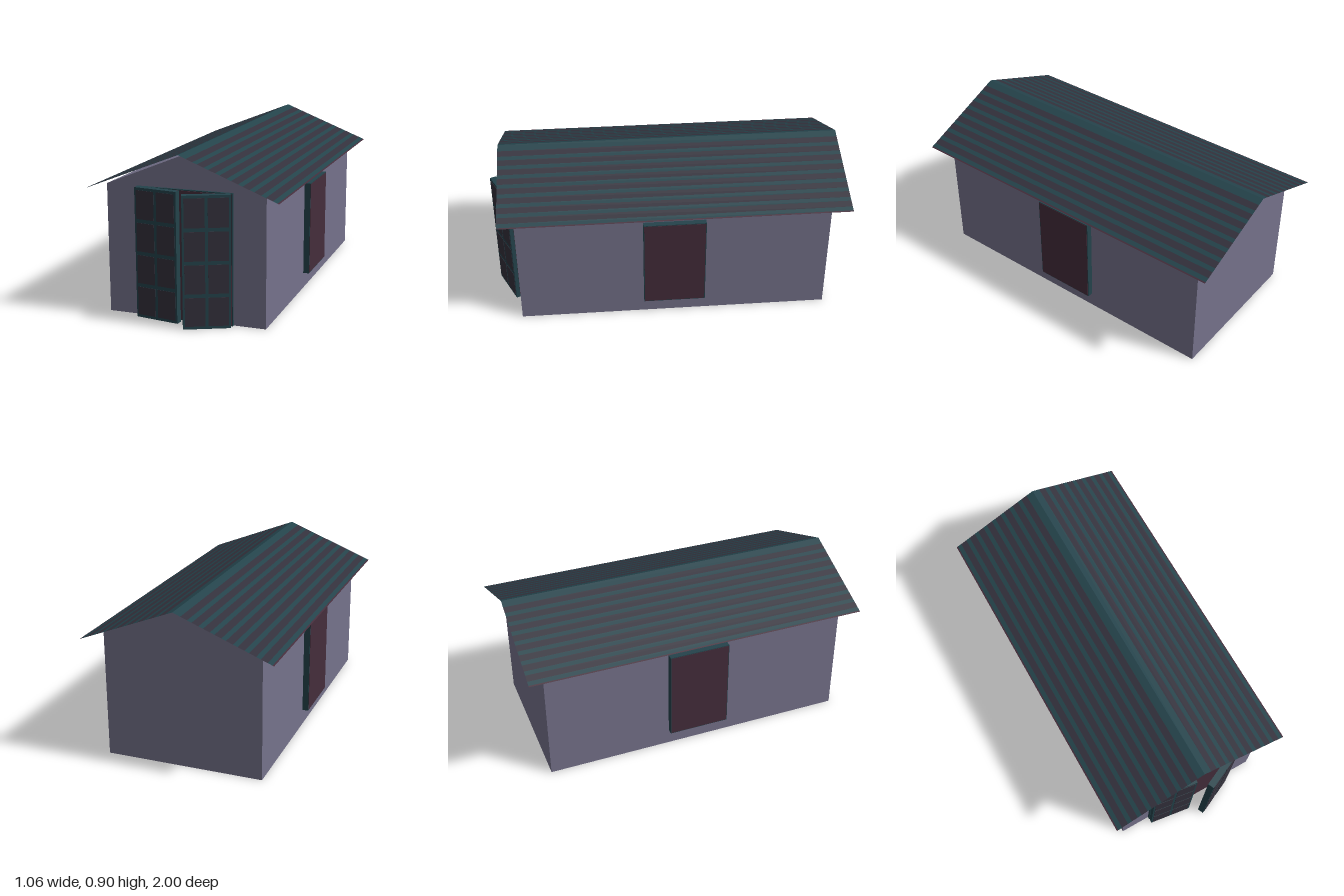
import * as THREE from 'three';
import { mergeGeometries } from 'three/addons/utils/BufferGeometryUtils.js';

function makeMaterial(name, color) {
  const m = new THREE.MeshStandardMaterial({ color, side: THREE.DoubleSide });
  m.name = name;
  return m;
}

export function createModel() {
  const wallMat = makeMaterial('wall lilac grey', 0x75728b);
  const teal = makeMaterial('dark teal', 0x24434b);
  const slate = makeMaterial('dark slate', 0x33313c);
  const maroon = makeMaterial('dark maroon', 0x442d3b);

  const model = new THREE.Group();
  model.name = 'shed';

  function add(parent, name, geometry, material, x = 0, y = 0, z = 0) {
    const mesh = new THREE.Mesh(geometry, material);
    mesh.name = name;
    mesh.position.set(x, y, z);
    parent.add(mesh);
    return mesh;
  }

  // Walls: thin shell, open at the bottom
  const halfW = 0.44, eaveY = 0.705, peakY = 0.885, frontZ = 0.855, backZ = -0.905;
  const gable = new THREE.Shape([
    new THREE.Vector2(-halfW, 0), new THREE.Vector2(halfW, 0),
    new THREE.Vector2(halfW, eaveY), new THREE.Vector2(0, peakY),
    new THREE.Vector2(-halfW, eaveY),
  ]);
  add(model, 'frontWall', new THREE.ShapeGeometry(gable), wallMat, 0, 0, frontZ);
  add(model, 'backWall', new THREE.ShapeGeometry(gable), wallMat, 0, 0, backZ).rotation.y = Math.PI;
  for (const s of [1, -1]) {
    const wall = add(model, s > 0 ? 'leftWall' : 'rightWall',
      new THREE.PlaneGeometry(frontZ - backZ, eaveY), wallMat,
      s * halfW, eaveY / 2, (frontZ + backZ) / 2);
    wall.rotation.y = s * Math.PI / 2;
  }

  // Roof: two thin slopes made of stripes running along the ridge
  const ridgeY = 0.897, slope = 0.21 / 0.53, roofHalf = 0.53;
  const roofLen = 1.94, roofZ = -0.03;
  const strips = new Map([[teal, []], [slate, []], [maroon, []]]);
  function roofStrip(material, x0, x1) {
    for (const s of [1, -1]) {
      const g = new THREE.PlaneGeometry((x1 - x0) * Math.hypot(1, slope), roofLen);
      g.rotateX(-Math.PI / 2);
      g.rotateZ(-s * Math.atan(slope));
      const xm = (x0 + x1) / 2;
      g.translate(s * xm, ridgeY - slope * xm, roofZ);
      strips.get(material).push(g);
    }
  }
  roofStrip(teal, 0, 0.042);
  const period = 0.06;
  for (let i = 0; i < 8; i++) {
    const x = 0.042 + i * period;
    roofStrip(slate, x, x + 0.036);
    roofStrip(teal, x + 0.036, x + period);
  }
  roofStrip(maroon, 0.522, roofHalf);
  const roof = new THREE.Group();
  roof.name = 'roof';
  model.add(roof);
  const stripNames = { 'dark teal': 'roofRidges', 'dark slate': 'roofGrooves', 'dark maroon': 'roofEaves' };
  for (const [material, list] of strips) add(roof, stripNames[material.name], mergeGeometries(list), material);

  // Doorway plate behind the doors
  const doorH = 0.705;
  add(model, 'doorFrame', new THREE.BoxGeometry(0.53, doorH, 0.015), teal, 0, doorH / 2, 0.8625);
  add(model, 'doorwayPanel', new THREE.BoxGeometry(0.52, doorH - 0.01, 0.004), maroon, 0, doorH / 2, 0.872);

  // Doors: a slab between two points of its outer face, with 2 x 4 panels
  const thick = 0.036;
  function addDoor(name, x0, z0, x1, z1) {
    const door = new THREE.Group();
    door.name = name;
    door.position.set((x0 + x1) / 2, 0, (z0 + z1) / 2);
    door.rotation.y = Math.atan2(z0 - z1, x1 - x0);
    model.add(door);
    const width = Math.hypot(x1 - x0, z1 - z0);
    add(door, 'doorSlab', new THREE.BoxGeometry(width, doorH, thick), teal, 0, doorH / 2, -thick / 2);
    for (let row = 0; row < 4; row++) {
      for (const s of [-1, 1]) {
        add(door, 'doorPanel', new THREE.BoxGeometry(width / 2 - 0.018, 0.154, 0.003), slate,
          s * width * 0.245, 0.092 + row * 0.174, 0.0005);
      }
    }
  }
  addDoor('rightDoor', -0.265, 0.895, -0.02, 0.93);
  addDoor('leftDoor', 0.04, 0.998, 0.265, 0.895);

  // Side windows: teal box with a maroon outer face
  for (const s of [1, -1]) {
    const win = new THREE.Group();
    win.name = s > 0 ? 'leftWindow' : 'rightWindow';
    win.position.set(s * halfW, 0.355, -0.025);
    model.add(win);
    add(win, 'windowFrame', new THREE.BoxGeometry(0.034, 0.53, 0.35), teal, s * 0.017);
    add(win, 'windowPane', new THREE.BoxGeometry(0.003, 0.522, 0.342), maroon, s * 0.0345);
  }

  return model;
}
